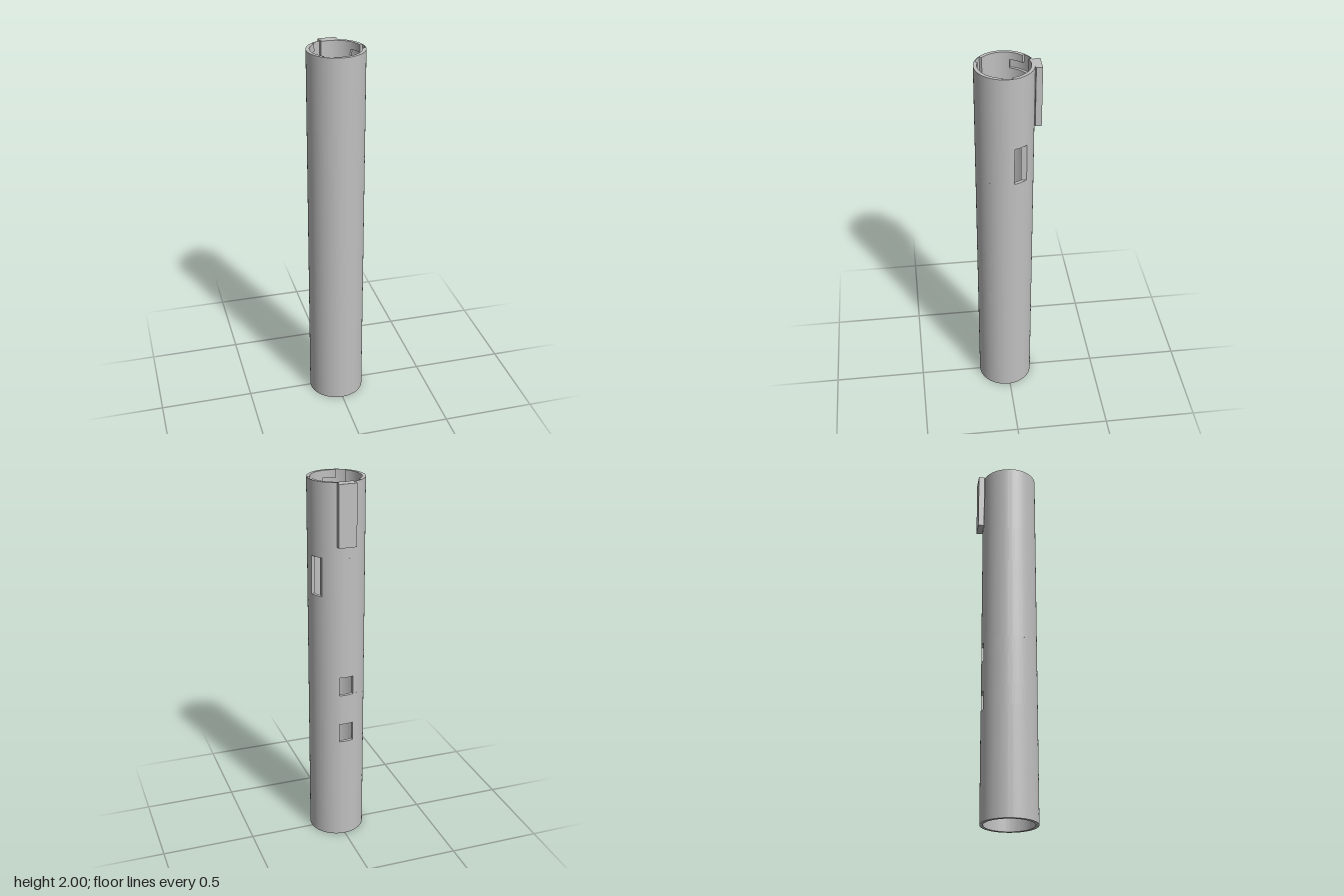
import * as THREE from 'three';
import { mergeGeometries, toCreasedNormals } from 'three/addons/utils/BufferGeometryUtils.js';

const OUTER = 0.148, INNER = 0.13, GROOVE = 0.144, CENTRE_Z = 0.014;
const point = (r, deg) => new THREE.Vector2(
  r * Math.cos(THREE.MathUtils.degToRad(deg)), r * Math.sin(THREE.MathUtils.degToRad(deg)));

// Points on an arc, angles in degrees (0 = left side, 90 = back)
function arc(r, from, to) {
  const n = Math.max(1, Math.ceil(Math.abs(to - from) / 3));
  return Array.from({ length: n + 1 }, (_, i) => point(r, from + ((to - from) * i) / n));
}

// Full ring; the bore may carry three grooves from angle g0 to g1, 120 degrees apart
function ring(groove) {
  const shape = new THREE.Shape(arc(OUTER, 0, 360).slice(0, -1));
  let bore = [];
  if (groove) {
    const [g0, g1] = groove;
    for (let k = 0; k < 360; k += 120) {
      bore = bore.concat(arc(GROOVE, k + g0, k + g1), arc(INNER, k + g1, k + g0 + 120));
    }
  } else bore = arc(INNER, 0, 360).slice(0, -1);
  shape.holes.push(new THREE.Path(bore));
  return shape;
}

// Ring opened by a straight-walled cutout
const openRing = (o0, o1, i0, i1) =>
  new THREE.Shape([...arc(OUTER, o1, o0 + 360), ...arc(INNER, i0 + 360, i1)]);

// Upright extrusion of a plan shape between two heights
function band(shape, y0, y1) {
  const g = new THREE.ExtrudeGeometry(shape, { depth: y1 - y0, bevelEnabled: false });
  return g.rotateX(-Math.PI / 2).translate(0, y0, CENTRE_Z);
}

export function createModel() {
  const model = new THREE.Group();
  const grey = new THREE.MeshStandardMaterial({ color: 0xc0c0c0 });
  grey.name = 'grey';

  // Tube stacked from plain, cut and grooved bands
  const plain = ring();
  const window = openRing(77.9, 107.3, 76.2, 109.8);
  const slot = openRing(13.3, 42, 15.2, 32.3);
  const bands = [
    [plain, 0, 0.585], [window, 0.585, 0.69],
    [plain, 0.69, 0.86], [window, 0.86, 0.963],
    [plain, 0.963, 1.41], [slot, 1.41, 1.615],
    [plain, 1.615, 1.915],
    [ring([-10.5, 42]), 1.915, 1.96], // turned part of the locking grooves
    [ring([-10.5, 10.5]), 1.96, 2], // groove entries at the rim
  ];
  const tube = new THREE.Mesh(
    toCreasedNormals(mergeGeometries(bands.map((b) => band(...b))), 0.45), grey);
  tube.name = 'tube';
  model.add(tube);

  // Block at the back of the rim, with a narrower neck joining the tube
  const tab = new THREE.Shape([
    [-0.036, 0.139], [0.036, 0.139], [0.036, 0.145], [0.047, 0.147],
    [0.047, 0.179], [-0.047, 0.179], [-0.047, 0.147], [-0.036, 0.145],
  ].map(([x, y]) => new THREE.Vector2(x, y)));
  const tabMesh = new THREE.Mesh(band(tab, 1.68, 2), grey);
  tabMesh.name = 'backTab';
  model.add(tabMesh);

  return model;
}
